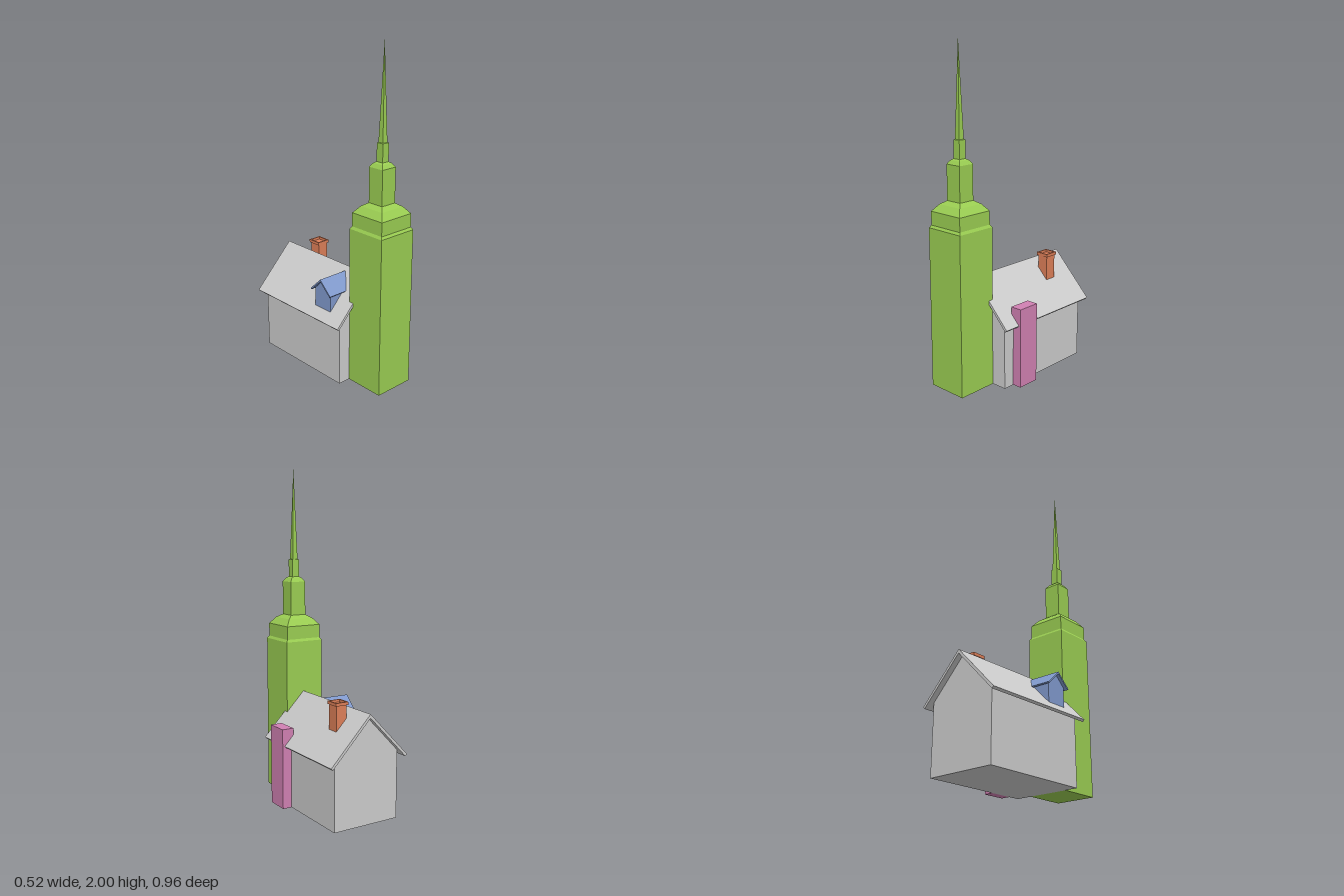
import * as THREE from 'three';

const mat = (color) => new THREE.MeshStandardMaterial({ color, flatShading: true });
const GREY = new THREE.MeshStandardMaterial({ color: 0xcccccc, flatShading: true });
const GREEN = mat(0x9acd52);
const BLUE = mat(0x8099cc);
const PINK = mat(0xd080b2);
const ORANGE = mat(0xdd7f58);

function add(group, name, geometry, material) {
  const mesh = new THREE.Mesh(geometry, material);
  mesh.name = name;
  group.add(mesh);
  return mesh;
}

// Box given by its minimum and maximum corners
function box([x0, y0, z0], [x1, y1, z1]) {
  return new THREE.BoxGeometry(x1 - x0, y1 - y0, z1 - z0)
    .translate((x0 + x1) / 2, (y0 + y1) / 2, (z0 + z1) / 2);
}

// Outline extruded along z from z0 to z1
function prism(points, z0, z1) {
  const shape = new THREE.Shape(points.map(([x, y]) => new THREE.Vector2(x, y)));
  return new THREE.ExtrudeGeometry(shape, { depth: z1 - z0, bevelEnabled: false }).translate(0, 0, z0);
}

// Gabled wall outline and thin two-slope roof outline, centred on x = 0
const gable = (half, base, eave, ridge) =>
  [[-half, base], [half, base], [half, eave], [0, ridge], [-half, eave]];
const chevron = (half, eave, ridge, t) =>
  [[-half, eave], [-half + t * 0.7, eave - t * 0.7], [0, ridge - t * 1.4],
    [half - t * 0.7, eave - t * 0.7], [half, eave], [0, ridge]];

export function createModel() {
  const model = new THREE.Group();
  model.name = 'towerHouse';

  // House body and roof
  const house = new THREE.Group();
  house.name = 'house';
  house.position.x = -0.007;
  model.add(house);
  add(house, 'walls', prism(gable(0.212, 0, 0.405, 0.63), -0.445, 0.23), GREY);
  add(house, 'roof', prism(chevron(0.256, 0.38, 0.645, 0.016), -0.48, 0.26), GREY);

  // Square stepped tower: [half width, height]
  const profile = [
    [0, 0], [0.125, 0], [0.125, 0.955], [0.115, 0.97], [0.115, 1.05],
    [0.082, 1.09], [0.051, 1.11], [0.051, 1.315], [0.036, 1.337], [0.023, 1.345],
    [0.023, 1.45], [0.017, 1.452], [0, 2],
  ].map(([h, y]) => new THREE.Vector2(h * Math.SQRT2, y));
  const tower = add(model, 'tower', new THREE.LatheGeometry(profile, 4, Math.PI / 4), GREEN);
  tower.position.set(-0.016, 0, 0.354);

  // Buttress against the left wall
  add(model, 'buttress', box([0.19, 0, 0.018], [0.262, 0.482, 0.158]), PINK);

  // Dormer facing -x, its back end buried in the main roof
  const dormer = new THREE.Group();
  dormer.name = 'dormer';
  dormer.rotation.y = -Math.PI / 2;
  dormer.position.z = 0.078;
  model.add(dormer);
  add(dormer, 'dormerWalls', prism(gable(0.066, 0.40, 0.545, 0.608), 0.06, 0.212), BLUE);
  add(dormer, 'dormerRoof', prism(chevron(0.086, 0.541, 0.622, 0.009), 0.035, 0.231), BLUE);

  // Chimney with an open rim
  const chimney = new THREE.Group();
  chimney.name = 'chimney';
  chimney.position.set(0.076, 0, -0.282);
  model.add(chimney);
  add(chimney, 'chimneyShaft', box([-0.034, 0.48, -0.036], [0.034, 0.674, 0.036]), ORANGE);
  const rim = new THREE.Shape([[-1, -1], [1, -1], [1, 1], [-1, 1]]
    .map(([x, y]) => new THREE.Vector2(x * 0.041, y * 0.043)));
  rim.holes.push(new THREE.Path([[-1, -1], [-1, 1], [1, 1], [1, -1]]
    .map(([x, y]) => new THREE.Vector2(x * 0.033, y * 0.035))));
  add(chimney, 'chimneyRim', new THREE.ExtrudeGeometry(rim, { depth: 0.018, bevelEnabled: false })
    .rotateX(-Math.PI / 2).translate(0, 0.671, 0), ORANGE);

  return model;
}
